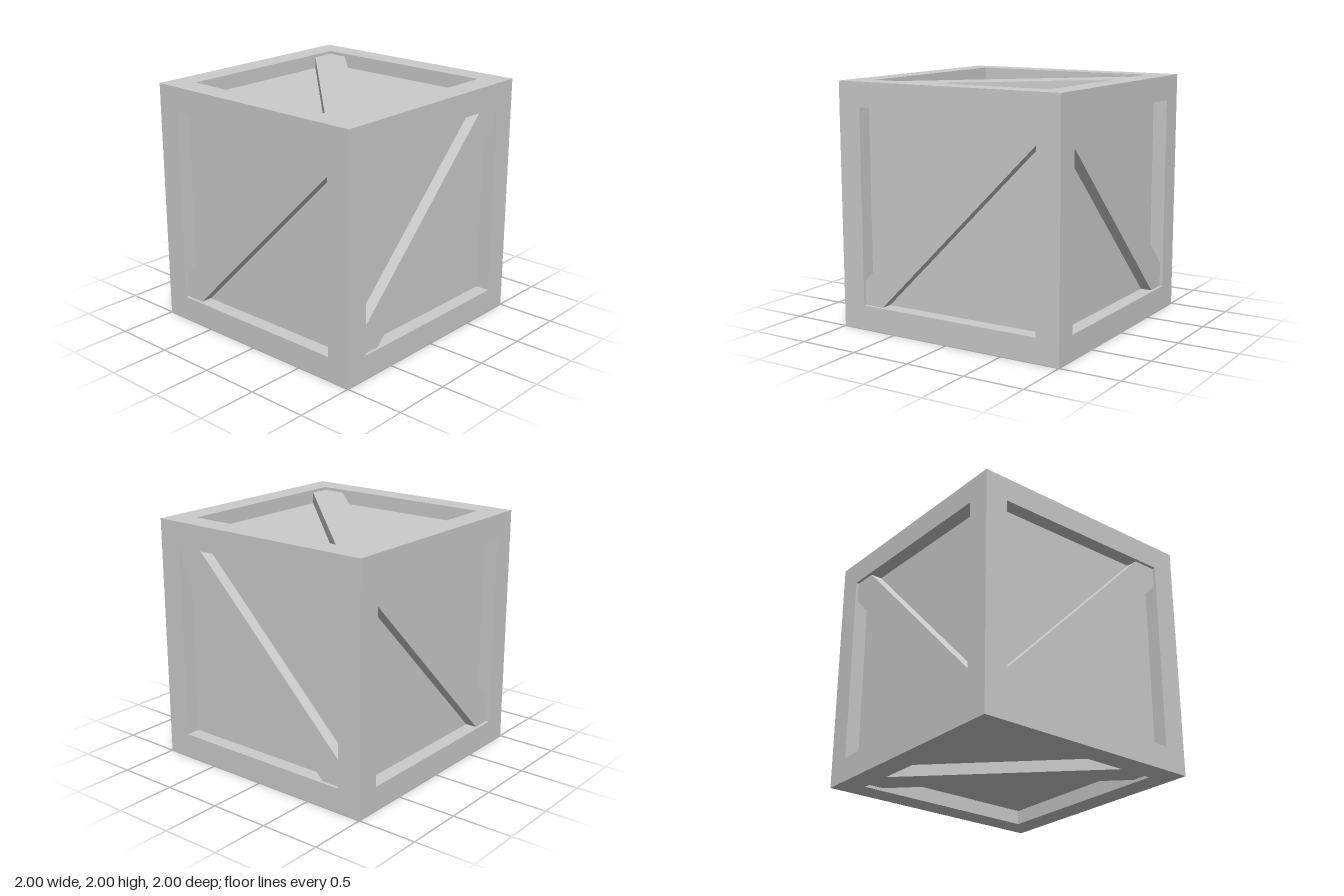
import * as THREE from 'three';

const HALF = 1;          // half of the crate's side
const BEAM = 0.2;        // frame beam thickness
const INNER = HALF - BEAM;
const PANEL = 0.88;      // distance of the recessed panels from the centre
const BRACE = 0.975;     // distance of the brace faces from the centre

export function createModel() {
  const material = new THREE.MeshStandardMaterial({ color: 0xcccccc, flatShading: true });
  const model = new THREE.Group();
  model.name = 'crate';
  const crate = new THREE.Group();
  crate.name = 'crateBody';
  crate.position.y = HALF;
  model.add(crate);

  const add = (parent, name, geometry, x = 0, y = 0, z = 0) => {
    const mesh = new THREE.Mesh(geometry, material);
    mesh.name = name;
    mesh.position.set(x, y, z);
    parent.add(mesh);
  };

  // Recessed panels: the six sides of one inner box
  add(crate, 'panels', new THREE.BoxGeometry(2 * PANEL, 2 * PANEL, 2 * PANEL));

  // Top and bottom frames: square rings
  const square = (h) => [[-h, -h], [h, -h], [h, h], [-h, h]].map(([x, y]) => new THREE.Vector2(x, y));
  const ring = new THREE.Shape(square(HALF));
  ring.holes.push(new THREE.Path(square(INNER).reverse()));
  const ringGeometry = new THREE.ExtrudeGeometry(ring, { depth: BEAM, bevelEnabled: false });
  ringGeometry.rotateX(-Math.PI / 2);
  add(crate, 'topFrame', ringGeometry, 0, INNER, 0);
  add(crate, 'bottomFrame', ringGeometry, 0, -HALF, 0);

  // Corner posts between the two rings
  const postGeometry = new THREE.BoxGeometry(BEAM, 2 * INNER, BEAM);
  const c = HALF - BEAM / 2;
  for (const x of [-c, c]) for (const z of [-c, c]) add(crate, 'cornerPost', postGeometry, x, 0, z);

  // Diagonal braces: a 45 degree band cut off by the frame opening
  const up = 0.2, down = 0.17;
  const band = new THREE.Shape([
    [-INNER, -INNER], [-INNER + down, -INNER], [INNER, INNER - down],
    [INNER, INNER], [INNER - up, INNER], [-INNER, -INNER + up],
  ].map(([x, y]) => new THREE.Vector2(x, y)));
  const depth = BRACE - PANEL;
  const braceGeometry = new THREE.ExtrudeGeometry(band, { depth, bevelEnabled: false });

  // Opposite sides share one orientation, so each axis gets a turned pair
  const pairs = [
    ['frontAndBackBraces', 0, 0],
    ['sideBraces', 0, Math.PI / 2],
    ['topAndBottomBraces', Math.PI / 2, 0],
  ];
  for (const [name, rx, ry] of pairs) {
    const pair = new THREE.Group();
    pair.name = name;
    pair.rotation.set(rx, ry, 0);
    add(pair, 'brace', braceGeometry, 0, 0, PANEL);
    add(pair, 'brace', braceGeometry, 0, 0, -BRACE);
    crate.add(pair);
  }
  return model;
}
